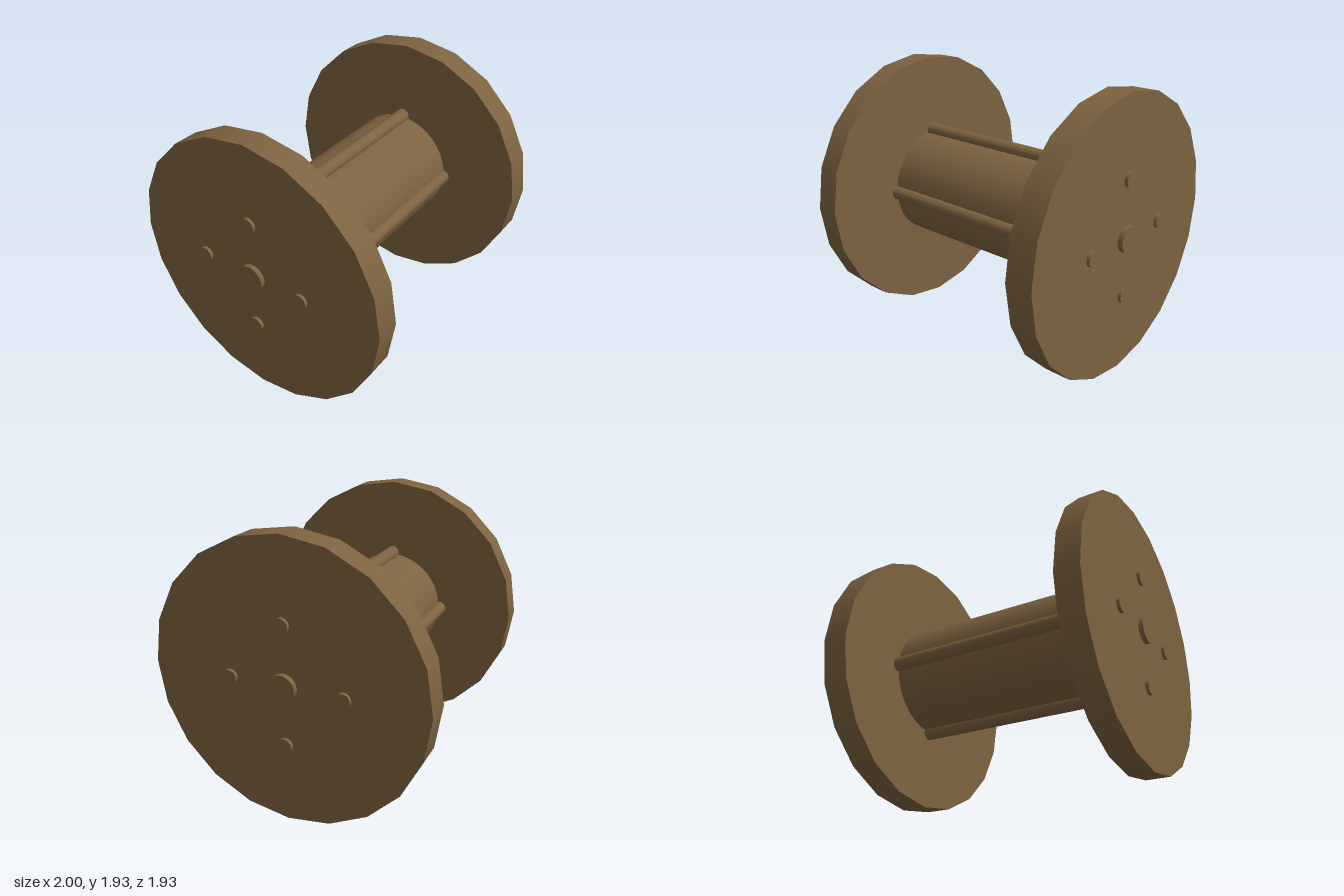
import * as THREE from 'three';

export function createModel() {
  const model = new THREE.Group();
  model.name = 'cableSpool';
  const wood = new THREE.MeshStandardMaterial({ color: 0x7d6340 });
  wood.name = 'brown wood';
  const axisY = 0.967;

  // Cylinder lying along x, from x0 to x1
  function bar(name, radius, x0, x1, y, z, sides) {
    const geometry = new THREE.CylinderGeometry(radius, radius, x1 - x0, sides);
    geometry.rotateZ(Math.PI / 2);
    const mesh = new THREE.Mesh(geometry, wood);
    mesh.name = name;
    mesh.position.set((x0 + x1) / 2, y, z);
    model.add(mesh);
  }

  // End discs
  bar('rightFlange', 0.965, -0.968, -0.796, axisY, 0, 20);
  bar('leftFlange', 0.965, 0.772, 0.963, axisY, 0, 20);

  // Winding drum and centre axle
  bar('drum', 0.395, -0.8, 0.78, axisY, -0.005, 40);
  bar('axle', 0.091, -1, 1, axisY + 0.002, 0, 32);

  // Four tie rods around the drum, showing through both discs
  const rods = [['topRod', 1.375, 0], ['bottomRod', 0.56, 0], ['frontRod', axisY, 0.386], ['backRod', axisY, -0.407]];
  for (const [name, y, z] of rods) bar(name, 0.051, -0.99, 0.987, y, z, 24);

  return model;
}
